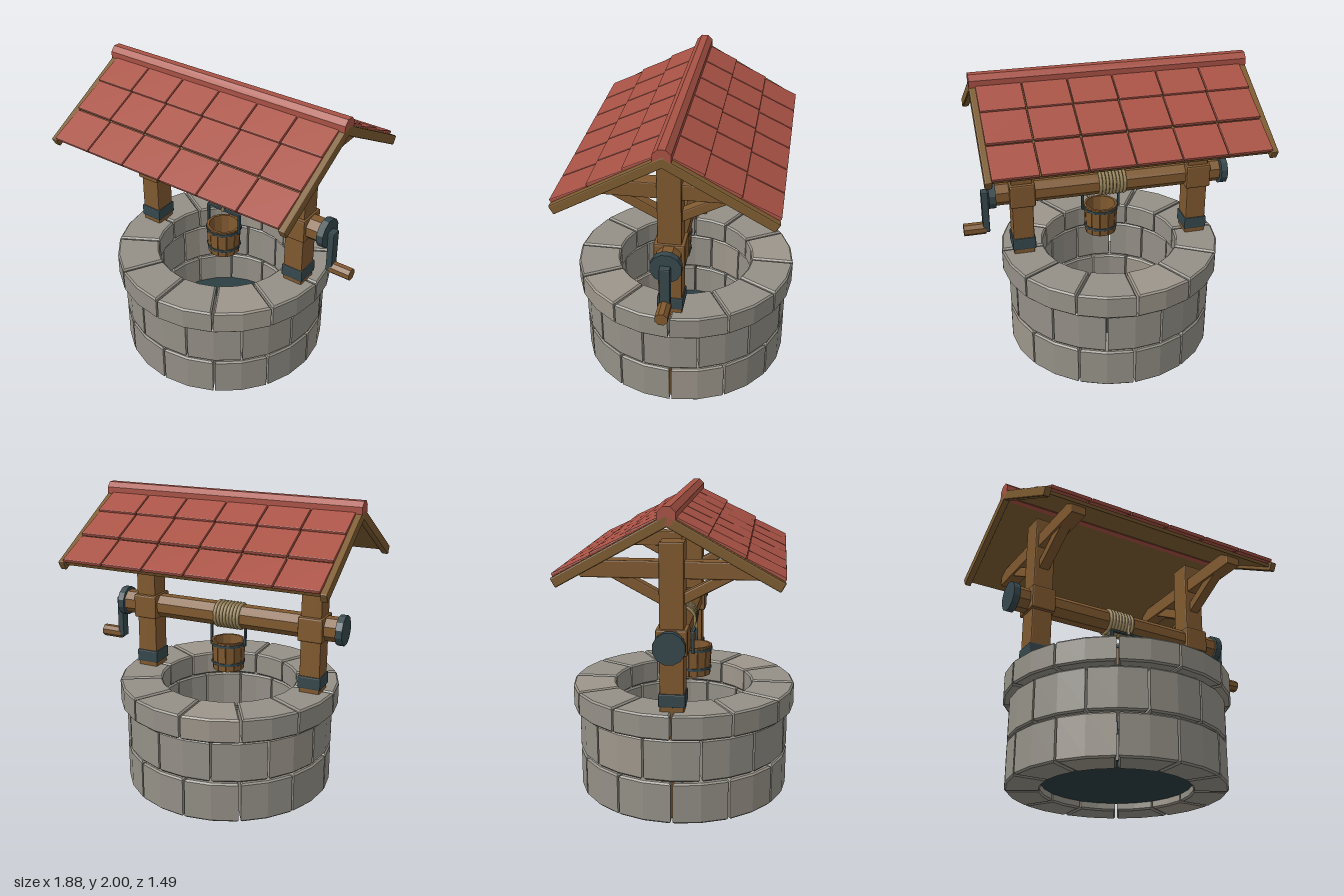
import * as THREE from 'three';
import { RoundedBoxGeometry } from 'three/addons/geometries/RoundedBoxGeometry.js';

const mat = (name, color, side = THREE.FrontSide) => {
  const m = new THREE.MeshStandardMaterial({ color, side });
  m.name = name;
  return m;
};

// faceted normals for a crisp low-poly look
function flat(geo) {
  const g = geo.index ? geo.toNonIndexed() : geo;
  g.computeVertexNormals();
  return g;
}

export function createModel() {
  const stone = mat('stone', 0x949087);
  const paleStone = mat('paleStone', 0x9d968b);
  const wood = mat('wood', 0x80592f);
  const trimWood = mat('trimWood', 0x7d5c30);
  const tileRed = mat('tileRed', 0xa95245);
  const iron = mat('iron', 0x36484d);
  const rope = mat('rope', 0x9a865c);
  const water = mat('water', 0x2c3f42, THREE.DoubleSide);

  const CX = -0.05; // well centre
  const model = new THREE.Group();
  model.name = 'well';

  const add = (parent, name, geo, material, x = 0, y = 0, z = 0) => {
    const mesh = new THREE.Mesh(geo, material);
    mesh.name = name;
    mesh.position.set(x, y, z);
    parent.add(mesh);
    return mesh;
  };
  const group = (parent, name, x = 0, y = 0, z = 0) => {
    const g = new THREE.Group();
    g.name = name;
    g.position.set(x, y, z);
    parent.add(g);
    return g;
  };
  const box = (w, h, d, bevel = 0.008) => flat(new RoundedBoxGeometry(w, h, d, 1, bevel));
  // cylinder lying along x
  const rodX = (r, len, sides) =>
    flat(new THREE.CylinderGeometry(r, r, len, sides).rotateY(Math.PI / sides).rotateZ(Math.PI / 2));

  // One bevelled wedge stone, two facets across its face
  function stoneGeometry(rIn, rOut, height) {
    const b = 0.011, step = Math.PI / 6, gap = 0.006 + b;
    const shape = new THREE.Shape();
    const point = (r, i) => {
      const half = step / 2 - gap / r;
      const a = (i - 1) * half;
      return new THREE.Vector2(r * Math.cos(a), r * Math.sin(a));
    };
    shape.setFromPoints([
      ...[0, 1, 2].map(i => point(rOut - b, i)),
      ...[2, 1, 0].map(i => point(rIn + b, i)),
    ]);
    const g = new THREE.ExtrudeGeometry(shape, {
      depth: height - 2 * b, bevelEnabled: true, bevelSize: b, bevelThickness: b, bevelSegments: 1,
    });
    return flat(g.translate(0, 0, b).rotateX(-Math.PI / 2));
  }

  // Stone courses, joints staggered by half a stone
  const courses = [
    { name: 'lowerCourse', y: 0, h: 0.272, rIn: 0.48, rOut: 0.705, shift: 0.5 },
    { name: 'middleCourse', y: 0.283, h: 0.275, rIn: 0.48, rOut: 0.705, shift: 0 },
    { name: 'capCourse', y: 0.57, h: 0.162, rIn: 0.46, rOut: 0.745, shift: 0.5 },
  ];
  courses.forEach((c, k) => {
    const ring = group(model, c.name, CX, c.y, 0);
    const geo = stoneGeometry(c.rIn, c.rOut, c.h);
    for (let i = 0; i < 12; i++) {
      const pale = (i * 5 + k * 3) % 7 === 0;
      add(ring, 'stone', geo, pale ? paleStone : stone).rotation.y = (i + c.shift) * Math.PI / 6;
    }
  });
  add(model, 'water', new THREE.CircleGeometry(0.49, 24).rotateX(-Math.PI / 2), water, CX, 0.05, 0);

  // Posts with their collars, crossbeams and braces
  for (const s of [-1, 1]) {
    const frame = group(model, s < 0 ? 'rightFrame' : 'leftFrame', CX + s * 0.6, 0, 0);
    add(frame, 'post', box(0.14, 1.75, 0.15), wood, 0, 0.895, 0);
    add(frame, 'ironCollar', box(0.157, 0.085, 0.167), iron, 0, 0.803, 0);
    add(frame, 'axleCollar', box(0.17, 0.165, 0.195, 0.012), wood, 0, 1.168, 0);
    add(frame, 'crossbeam', box(0.1, 0.105, 1.1), wood, 0, 1.602, 0);
    for (const f of [-1, 1]) {
      const brace = add(frame, 'brace', box(0.072, 0.066, 0.4), wood, 0, 1.5, f * 0.205);
      brace.rotation.x = -f * 0.49;
    }
  }

  // Windlass: axle, end discs and crank
  const windlass = group(model, 'windlass', 0, 1.168, 0);
  add(windlass, 'axle', rodX(0.082, 1.55, 8), wood, -0.035, 0, 0);
  add(windlass, 'endDisc', rodX(0.1, 0.045, 12), iron, -0.838, 0, 0);
  add(windlass, 'endDisc', rodX(0.1, 0.045, 12), iron, 0.745, 0, 0);
  add(windlass, 'crankArm', box(0.045, 0.295, 0.068), iron, 0.79, -0.122, 0);
  add(windlass, 'crankHandle', rodX(0.042, 0.145, 8), wood, 0.8675, -0.248, 0);

  // Rope coils and hanging rope
  const coil = new THREE.TorusGeometry(0.084, 0.0115, 6, 16).rotateY(Math.PI / 2);
  for (let i = 0; i < 8; i++) add(windlass, 'ropeCoil', coil, rope, -0.14 + i * 0.0235, 0, 0);
  add(model, 'hangingRope', new THREE.CylinderGeometry(0.011, 0.011, 0.1, 6), rope, -0.007, 1.12, 0.08);

  // Bucket of tapered staves, iron bands and bail
  const bucket = group(model, 'bucket', -0.007, 0.76, 0.07);
  const staveCount = 12;
  const staveGeo = new THREE.BoxGeometry(0.055, 0.205, 0.016);
  const p = staveGeo.attributes.position;
  for (let i = 0; i < p.count; i++) {
    const top = p.getY(i) > 0;
    p.setX(i, p.getX(i) * (top ? 1.03 : 0.93));
    p.setZ(i, p.getZ(i) + (top ? 0.106 : 0.097));
  }
  staveGeo.computeVertexNormals();
  for (let i = 0; i < staveCount; i++) {
    add(bucket, 'stave', staveGeo, wood, 0, 0.1025, 0).rotation.y = (i / staveCount) * Math.PI * 2;
  }
  add(bucket, 'bucketBase', new THREE.CylinderGeometry(0.097, 0.097, 0.02, 12), wood, 0, 0.022, 0);
  for (const [y, r] of [[0.05, 0.116], [0.183, 0.122]]) {
    const profile = [[r - 0.016, -0.009], [r, -0.009], [r, 0.009], [r - 0.016, 0.009], [r - 0.016, -0.009]];
    const band = new THREE.LatheGeometry(profile.map(q => new THREE.Vector2(...q)), 12);
    add(bucket, 'bucketBand', flat(band), iron, 0, y, 0);
  }
  for (const s of [-1, 1]) {
    add(bucket, 'bailSide', box(0.016, 0.15, 0.02, 0.003), iron, s * 0.126, 0.245, 0);
  }
  add(bucket, 'bailTop', box(0.265, 0.016, 0.02, 0.003), iron, 0, 0.318, 0);

  // Roof: each slope has local +z running down and +y pointing out
  const roof = group(model, 'roof', CX, 1.955, 0);
  const tileGeo = box(0.277, 0.024, 0.25, 0.006);
  for (const f of [0, 1]) {
    const sideGroup = group(roof, f ? 'backSlope' : 'frontSlope');
    sideGroup.rotation.y = f * Math.PI;
    const slope = group(sideGroup, 'slope');
    slope.rotation.x = THREE.MathUtils.degToRad(29);
    add(slope, 'roofDeck', new THREE.BoxGeometry(1.72, 0.022, 0.74), trimWood, 0, -0.027, 0.37);
    for (const s of [-1, 1]) {
      add(slope, 'bargeBoard', box(0.045, 0.062, 0.762), trimWood, s * 0.866, -0.031, 0.381);
    }
    for (let row = 0; row < 3; row++) {
      for (let col = 0; col < 6; col++) {
        const tile = add(slope, 'tile', tileGeo, tileRed, (col - 2.5) * 0.284, 0.001, 0.155 + row * 0.24);
        tile.rotation.x = -0.06;
        tile.position.z -= 0.02;
        if (row === 2) tile.position.z += 0.015;
      }
    }
  }
  add(roof, 'ridgeCap', rodX(0.058, 1.775, 8), tileRed, -0.001, -0.009, 0);

  return model;
}
